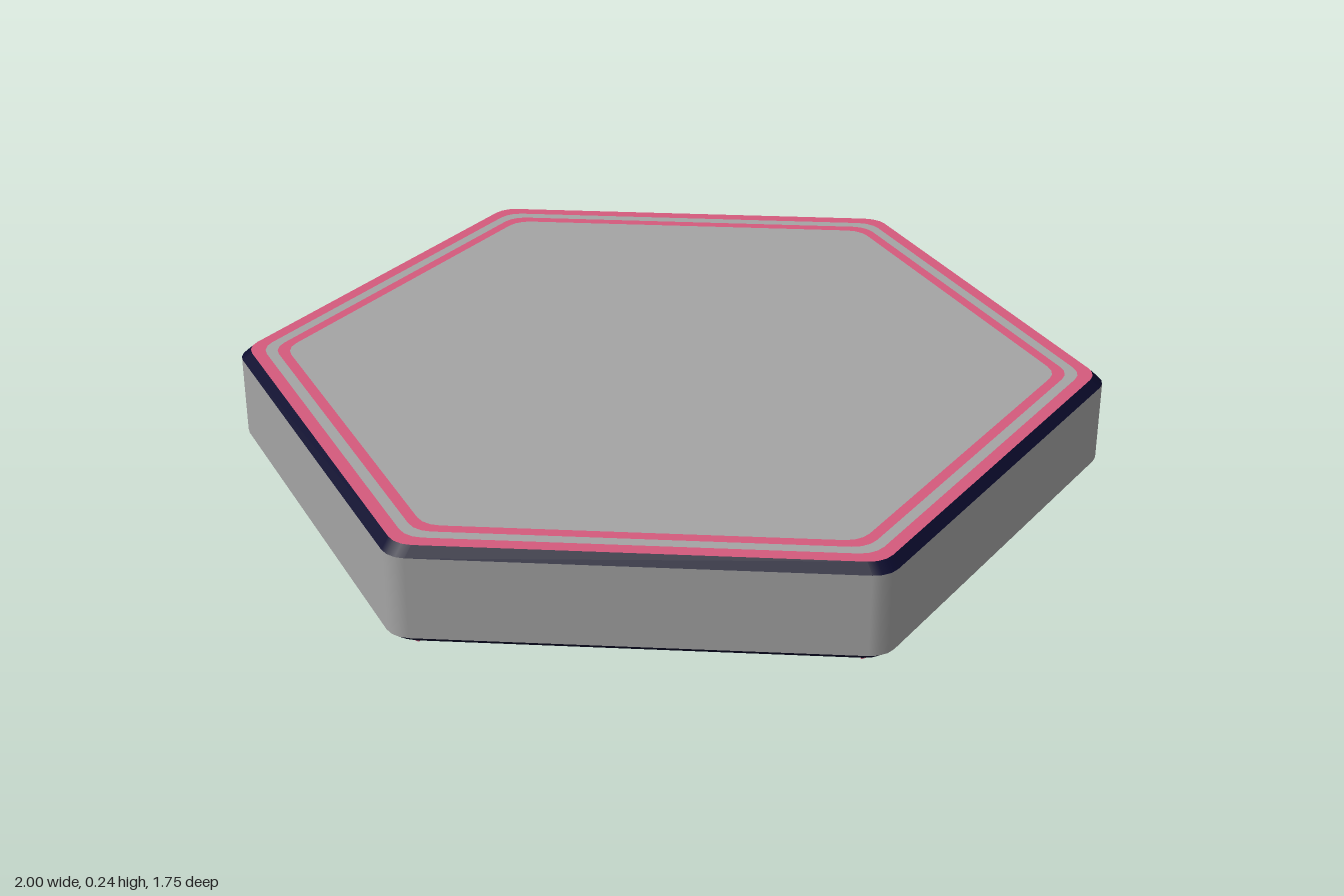
import * as THREE from 'three';

const grey = new THREE.MeshStandardMaterial({ name: 'stoneGrey', color: 0xa4a4a4 });
const pink = new THREE.MeshStandardMaterial({ name: 'rosePink', color: 0xd45a7c });
const navy = new THREE.MeshStandardMaterial({ name: 'darkNavy', color: 0x0b0b2e });

const CORNER = 0.06, ARC_STEPS = 3;

// Outline of a hexagon with rounded corners: position and outward direction of each point
function outline(apothem) {
  const r = Math.min(CORNER, apothem), points = [];
  const reach = (apothem - r) / Math.cos(Math.PI / 6);
  for (let k = 0; k < 6; k++) {
    const c = k * Math.PI / 3;
    for (let i = 0; i <= ARC_STEPS; i++) {
      const t = c - Math.PI / 6 + (i / ARC_STEPS) * Math.PI / 3;
      const nx = Math.cos(t), nz = Math.sin(t);
      points.push({ x: reach * Math.cos(c) + r * nx, z: reach * Math.sin(c) + r * nz, nx, nz });
    }
  }
  return points;
}

// Hexagonal band running from (apothem a0, height y0) to (a1, y1)
function band(name, material, a0, y0, a1, y1) {
  const lower = outline(a0), upper = outline(a1);
  const len = Math.hypot(a1 - a0, y1 - y0);
  const side = (y1 - y0) / len, up = (a0 - a1) / len;
  const position = [], normal = [], index = [];
  const n = lower.length;
  for (let j = 0; j < n; j++) {
    const l = lower[j], u = upper[j];
    position.push(l.x, y0, l.z, u.x, y1, u.z);
    for (let i = 0; i < 2; i++) normal.push(l.nx * side, up, l.nz * side);
    const a = 2 * j, b = 2 * ((j + 1) % n);
    index.push(b, a, a + 1, b, a + 1, b + 1);
  }
  const g = new THREE.BufferGeometry();
  g.setAttribute('position', new THREE.Float32BufferAttribute(position, 3));
  g.setAttribute('normal', new THREE.Float32BufferAttribute(normal, 3));
  g.setIndex(index);
  const mesh = new THREE.Mesh(g, material);
  mesh.name = name;
  return mesh;
}

// Thin horizontal plate cut from a shape, with its upper face at height top
function plate(name, material, points, top, depth) {
  const g = new THREE.ExtrudeGeometry(new THREE.Shape(points), { depth, bevelEnabled: false });
  g.rotateX(Math.PI / 2);
  g.translate(0, top, 0);
  const mesh = new THREE.Mesh(g, material);
  mesh.name = name;
  return mesh;
}

export function createModel() {
  const model = new THREE.Group();
  model.name = 'hexagonalTile';

  // Body, from the underside up to the rim
  model.add(
    band('underside', navy, 0, 0.01, 0.855, 0.01),
    band('lowerBevel', navy, 0.855, 0.01, 0.875, 0.028),
    band('wall', grey, 0.875, 0.028, 0.875, 0.22),
    band('upperBevel', navy, 0.875, 0.22, 0.855, 0.24),
  );

  // Top face: two inlaid pink rings around a grey field
  model.add(
    band('outerRing', pink, 0.855, 0.24, 0.825, 0.24),
    band('ringGap', grey, 0.825, 0.24, 0.8, 0.24),
    band('innerRing', pink, 0.8, 0.24, 0.775, 0.24),
    band('topField', grey, 0.775, 0.24, 0, 0.24),
  );

  // Six-armed plate underneath, notched along each side (apothem, offset along side)
  const half = [[0.69, 0.17], [0.715, 0.225], [0.775, 0.265], [0.81, 0.32], [0.825, 0.37], [0.825, 0.44]];
  const notch = [...half.map(([a, s]) => [a, -s]).reverse(), ...half];
  const star = [];
  for (let k = 0; k < 6; k++) {
    const t = Math.PI / 6 + k * Math.PI / 3, c = Math.cos(t), s = Math.sin(t);
    for (const [a, o] of notch) star.push(new THREE.Vector2(a * c - o * s, a * s + o * c));
  }
  model.add(plate('starPlate', grey, star, 0.01, 0.007));

  // Tapered spokes from the centre to each corner
  const spokes = new THREE.Group();
  spokes.name = 'spokes';
  const wedge = [[0, 0], [0.96, -0.027], [0.96, 0.027]].map(([x, y]) => new THREE.Vector2(x, y));
  for (let k = 0; k < 6; k++) {
    const spoke = plate('spoke', pink, wedge, 0.009, 0.009);
    spoke.rotation.y = k * Math.PI / 3;
    spokes.add(spoke);
  }
  model.add(spokes);
  return model;
}
